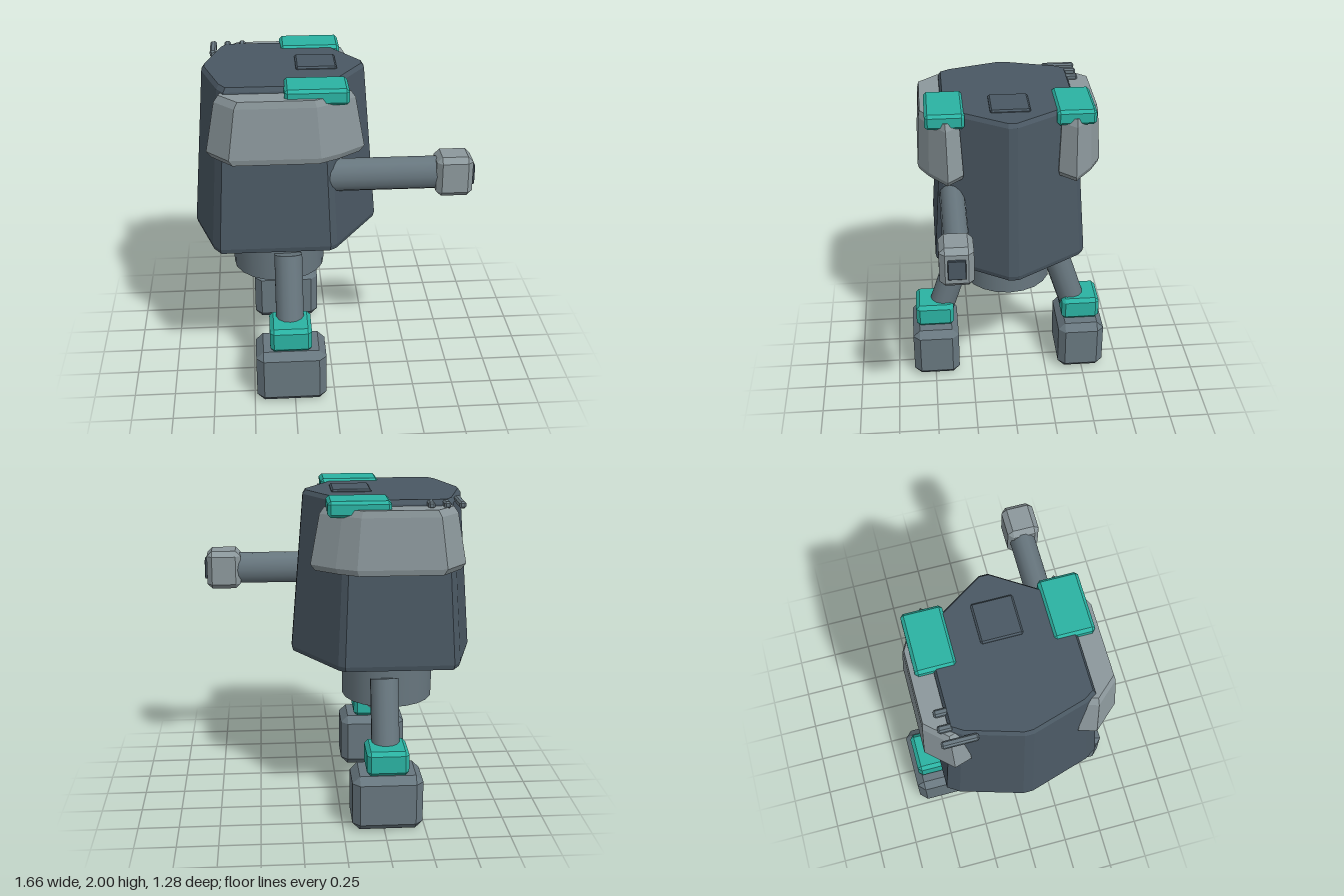
import * as THREE from 'three';

const paint = (color) => new THREE.MeshStandardMaterial({ color });
const flat = (color) => new THREE.MeshStandardMaterial({ color, flatShading: true });
const HULL = 0x4a5863, LIMB = 0x68777f, PLATE = 0x8c989c, TEAL = 0x2bb3a3;

// Flat-faced solid from stacked rings of [x, y, z], counter-clockwise seen from above
function loft(rings) {
  const pos = [];
  const tri = (a, b, c) => pos.push(...a, ...b, ...c);
  const n = rings[0].length;
  for (let r = 0; r < rings.length - 1; r++) {
    for (let i = 0; i < n; i++) {
      const j = (i + 1) % n, lo = rings[r], hi = rings[r + 1];
      tri(lo[i], lo[j], hi[j]);
      tri(lo[i], hi[j], hi[i]);
    }
  }
  const bottom = rings[0], top = rings[rings.length - 1];
  for (let i = 1; i < n - 1; i++) {
    tri(bottom[0], bottom[i + 1], bottom[i]);
    tri(top[0], top[i], top[i + 1]);
  }
  const g = new THREE.BufferGeometry();
  g.setAttribute('position', new THREE.Float32BufferAttribute(pos, 3));
  g.computeVertexNormals();
  return g;
}

// Plan outline scaled about (cx, cz) at each [height, scale] level
function taper(outline, cx, cz, levels) {
  return loft(levels.map(([y, s]) =>
    outline.map(([x, z]) => [cx + (x - cx) * s, y, cz + (z - cz) * s])));
}

// Box with all edges chamfered by c
function chamferBox(w, h, d, c) {
  const X = w / 2, Y = h / 2, Z = d / 2, x = X - c, z = Z - c;
  const full = [[X, z], [X, -z], [x, -Z], [-x, -Z], [-X, -z], [-X, z], [-x, Z], [x, Z]];
  const inset = full.map(([a, b]) => [Math.sign(a) * x, Math.sign(b) * z]);
  const at = (pts, y) => pts.map(([a, b]) => [a, y, b]);
  return loft([at(inset, -Y), at(full, -Y + c), at(full, Y - c), at(inset, Y)]);
}

export function createModel() {
  const model = new THREE.Group();
  const add = (name, geometry, material, x = 0, y = 0, z = 0) => {
    const m = new THREE.Mesh(geometry, material);
    m.name = name;
    m.position.set(x, y, z);
    model.add(m);
    return m;
  };
  const box = (name, color, [w, h, d], c, [x, y, z]) =>
    add(name, chamferBox(w, h, d, c), flat(color), x, y, z);

  // Tapered six-sided torso with chamfered corners
  const half = [[0.285, -0.03], [0.02, -0.44], [-0.02, -0.47], [-0.675, -0.47], [-0.72, -0.4], [-0.83, -0.03]];
  const torso = [...half, ...half.map(([x, z]) => [x, -z]).reverse()];
  add('torso', taper(torso, -0.27, 0, [[0.97, 0.985], [1.0, 1], [1.96, 0.86], [1.985, 0.83]]), flat(HULL));
  box('topHatch', HULL, [0.24, 0.04, 0.24], 0.01, [-0.08, 1.98, 0]);

  // Waist drum
  add('waist', new THREE.CylinderGeometry(0.29, 0.285, 0.34, 20), paint(LIMB), -0.32, 0.84, 0);

  // Shoulder plate outline on the +z side, pointed toward +x
  const plate = [[0.18, 0.38], [0.09, 0.285], [-0.66, 0.285], [-0.7, 0.31], [-0.73, 0.41],
    [-0.6, 0.555], [-0.08, 0.555], [0.04, 0.49]];

  for (const s of [1, -1]) {
    const side = s > 0 ? 'front' : 'rear';
    // Shoulder plate and its coloured cap
    const outline = s > 0 ? plate : plate.map(([x, z]) => [x, -z]).reverse();
    add(side + 'ShoulderPlate', taper(outline, -0.27, 0.42 * s,
      [[1.575, 0.94], [1.61, 1], [1.91, 0.88], [1.95, 0.82]]), flat(PLATE));
    box(side + 'ShoulderCap', TEAL, [0.365, 0.095, 0.235], 0.018, [-0.098, 1.951, 0.388 * s]);

    // Splayed leg, ankle cuff and block foot
    const hip = new THREE.Vector3(-0.27, 0.868, 0.305 * s);
    const ankle = new THREE.Vector3(-0.27, 0.3, 0.489 * s);
    const dir = hip.clone().sub(ankle);
    const leg = add(side + 'Leg', new THREE.CylinderGeometry(0.087, 0.087, dir.length(), 14), paint(LIMB));
    leg.position.copy(hip).add(ankle).multiplyScalar(0.5);
    leg.quaternion.setFromUnitVectors(new THREE.Vector3(0, 1, 0), dir.normalize());
    box(side + 'AnkleCuff', TEAL, [0.255, 0.155, 0.25], 0.024, [-0.27, 0.428, 0.49 * s]);
    box(side + 'Foot', LIMB, [0.43, 0.35, 0.305], 0.045, [-0.27, 0.175, 0.49 * s]);
  }

  // Single arm reaching toward +x, oval in section
  const arm = new THREE.CylinderGeometry(0.1, 0.1, 0.74, 14);
  arm.rotateZ(Math.PI / 2).scale(1, 1, 0.78);
  add('arm', arm, paint(LIMB), 0.27, 1.415, 0.355);
  box('hand', PLATE, [0.215, 0.245, 0.195], 0.032, [0.708, 1.415, 0.362]);
  box('handPort', HULL, [0.04, 0.122, 0.102], 0.004, [0.81, 1.416, 0.362]);

  // Small bars on the rear shoulder edge
  for (const [x, z, length] of [[-0.69, -0.363, 0.205], [-0.603, -0.422, 0.085], [-0.512, -0.422, 0.085]]) {
    box('shoulderBar', LIMB, [0.04, 0.04, length], 0.01, [x, 1.963, z]);
  }
  return model;
}
